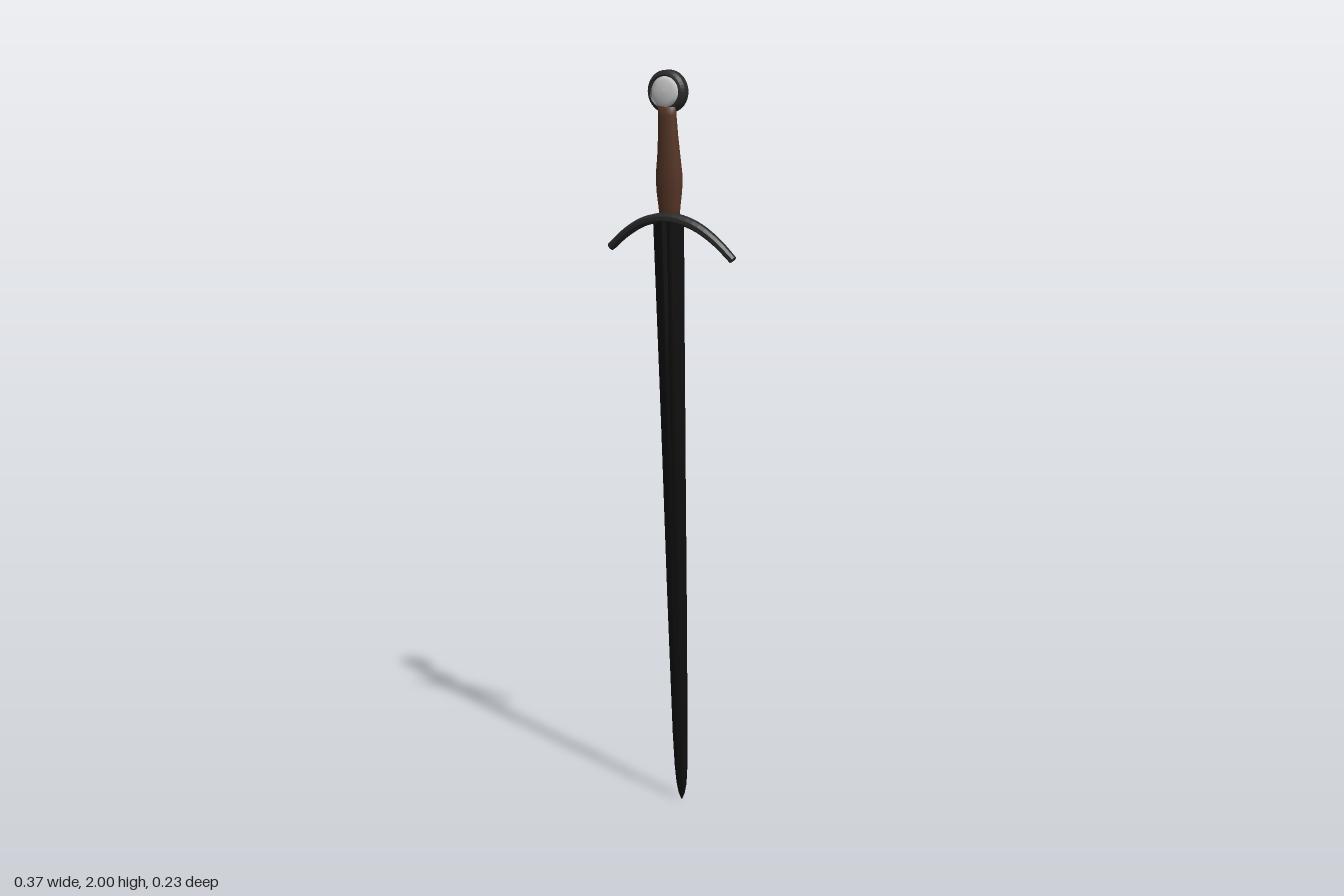
import * as THREE from 'three';

const V = (x, y, z) => new THREE.Vector3(x, y, z);

// Skin a list of equal-length rings and close both ends
function loft(rings) {
  const n = rings[0].length;
  const pos = [], index = [];
  rings.forEach(r => r.forEach(p => pos.push(p.x, p.y, p.z)));
  for (let i = 0; i < rings.length - 1; i++) {
    for (let j = 0; j < n; j++) {
      const a = i * n + j, b = i * n + (j + 1) % n;
      index.push(a, b, b + n, a, b + n, a + n);
    }
  }
  [0, rings.length - 1].forEach((i, end) => {
    const c = rings[i].reduce((s, p) => s.add(p), V(0, 0, 0)).divideScalar(n);
    const ci = pos.length / 3;
    pos.push(c.x, c.y, c.z);
    for (let j = 0; j < n; j++) {
      const a = i * n + j, b = i * n + (j + 1) % n;
      if (end) index.push(ci, a, b); else index.push(ci, b, a);
    }
  });
  const g = new THREE.BufferGeometry();
  g.setAttribute('position', new THREE.Float32BufferAttribute(pos, 3));
  g.setIndex(index);
  g.computeVertexNormals();
  return g;
}

function part(name, geometry, color, flatShading = false) {
  const m = new THREE.Mesh(geometry, new THREE.MeshStandardMaterial({ color, flatShading }));
  m.name = name;
  return m;
}

// Blade: slanting, tapering, with a fuller that fades out below the guard
function bladeGeometry() {
  // y, centre x, centre z, half width, half thickness, fuller floor
  const stations = [
    [1.635, 0.0, 0.082, 0.045, 0.018, 0.55],
    [1.40, -0.01, 0.055, 0.041, 0.016, 0.6],
    [1.20, -0.018, 0.032, 0.038, 0.0145, 0.85],
    [1.00, -0.027, 0.008, 0.035, 0.013, 0.95],
    [0.60, -0.045, -0.04, 0.030, 0.011, 1],
    [0.20, -0.062, -0.087, 0.0235, 0.008, 1],
    [0.10, -0.066, -0.099, 0.020, 0.007, 1],
    [0.05, -0.068, -0.105, 0.016, 0.005, 1],
    [0.02, -0.070, -0.109, 0.010, 0.003, 1],
    [0.0, -0.071, -0.112, 0.002, 0.001, 1],
  ];
  return loft(stations.map(([y, cx, cz, w, t, f]) => [
    [1, 0], [0.36, 0.95], [0.2, 1], [0, f], [-0.2, 1], [-0.36, 0.95],
    [-1, 0], [-0.36, -0.95], [-0.2, -1], [0, -f], [0.2, -1], [0.36, -0.95],
  ].map(([u, v]) => V(cx + u * w, y, cz + v * t))));
}

// Grip: oval, swelling above the guard, leaning slightly
function gripGeometry() {
  // y, centre x, centre z, half width, half depth
  const stations = [
    [1.91, 0.006, 0.099, 0.024, 0.014],
    [1.89, 0.006, 0.098, 0.025, 0.016],
    [1.84, 0.005, 0.092, 0.027, 0.018],
    [1.79, 0.003, 0.085, 0.031, 0.021],
    [1.74, 0.0, 0.078, 0.036, 0.024],
    [1.70, -0.002, 0.074, 0.035, 0.022],
    [1.66, -0.004, 0.070, 0.030, 0.018],
    [1.625, -0.004, 0.068, 0.027, 0.016],
  ];
  return loft(stations.map(([y, cx, cz, w, d]) => Array.from({ length: 20 }, (_, j) => {
    const a = j / 20 * Math.PI * 2;
    return V(cx + w * Math.cos(a), y, cz + d * Math.sin(a));
  })));
}

// Crossguard: faceted bar, both arms drooping toward the blade
function guardGeometry() {
  const path = new THREE.CatmullRomCurve3([
    V(-0.178, 1.548, 0.068), V(-0.13, 1.588, 0.072), V(-0.07, 1.621, 0.078), V(0, 1.634, 0.081),
    V(0.07, 1.619, 0.079), V(0.13, 1.582, 0.075), V(0.178, 1.537, 0.071),
  ]);
  const rings = [];
  for (let i = 0; i <= 24; i++) {
    const t = i / 24, p = path.getPoint(t), dir = path.getTangent(t);
    const up = V(-dir.y, dir.x, 0).normalize();
    const k = Math.abs(2 * t - 1);
    const h = 0.0125 - 0.003 * k, d = 0.021 - 0.0105 * k;
    rings.push(Array.from({ length: 8 }, (_, j) => {
      const a = (j + 0.5) / 8 * Math.PI * 2;
      const q = p.clone().addScaledVector(up, Math.cos(a) * h * 1.08);
      q.z += Math.sin(a) * d * 1.08;
      return q;
    }));
  }
  return loft(rings);
}

const lathe = pts => new THREE.LatheGeometry(pts.map(([r, y]) => new THREE.Vector2(r, y)), 36);

export function createModel() {
  const sword = new THREE.Group();
  sword.name = 'sword';
  sword.add(
    part('blade', bladeGeometry(), 0x111111, true),
    part('crossguard', guardGeometry(), 0x2a2a2a, true),
    part('grip', gripGeometry(), 0x583828),
  );

  // Wheel pommel: bevelled dark rim around a shallow domed inlay on each side
  const pommel = new THREE.Group();
  pommel.name = 'pommel';
  pommel.add(
    part('pommelRim', lathe([[0.037, -0.015], [0.041, -0.021], [0.047, -0.019], [0.053, -0.009],
      [0.053, 0.009], [0.047, 0.019], [0.041, 0.021], [0.037, 0.015], [0.037, -0.015]]), 0x2a2a2a, true),
    part('pommelInlay', lathe([[0, -0.023], [0.014, -0.0222], [0.027, -0.020], [0.039, -0.016],
      [0.039, 0.016], [0.027, 0.020], [0.014, 0.0222], [0, 0.023]]), 0xcccccc),
  );
  pommel.rotation.x = Math.PI / 2;
  pommel.position.set(0, 1.947, 0.083);
  sword.add(pommel);
  return sword;
}
